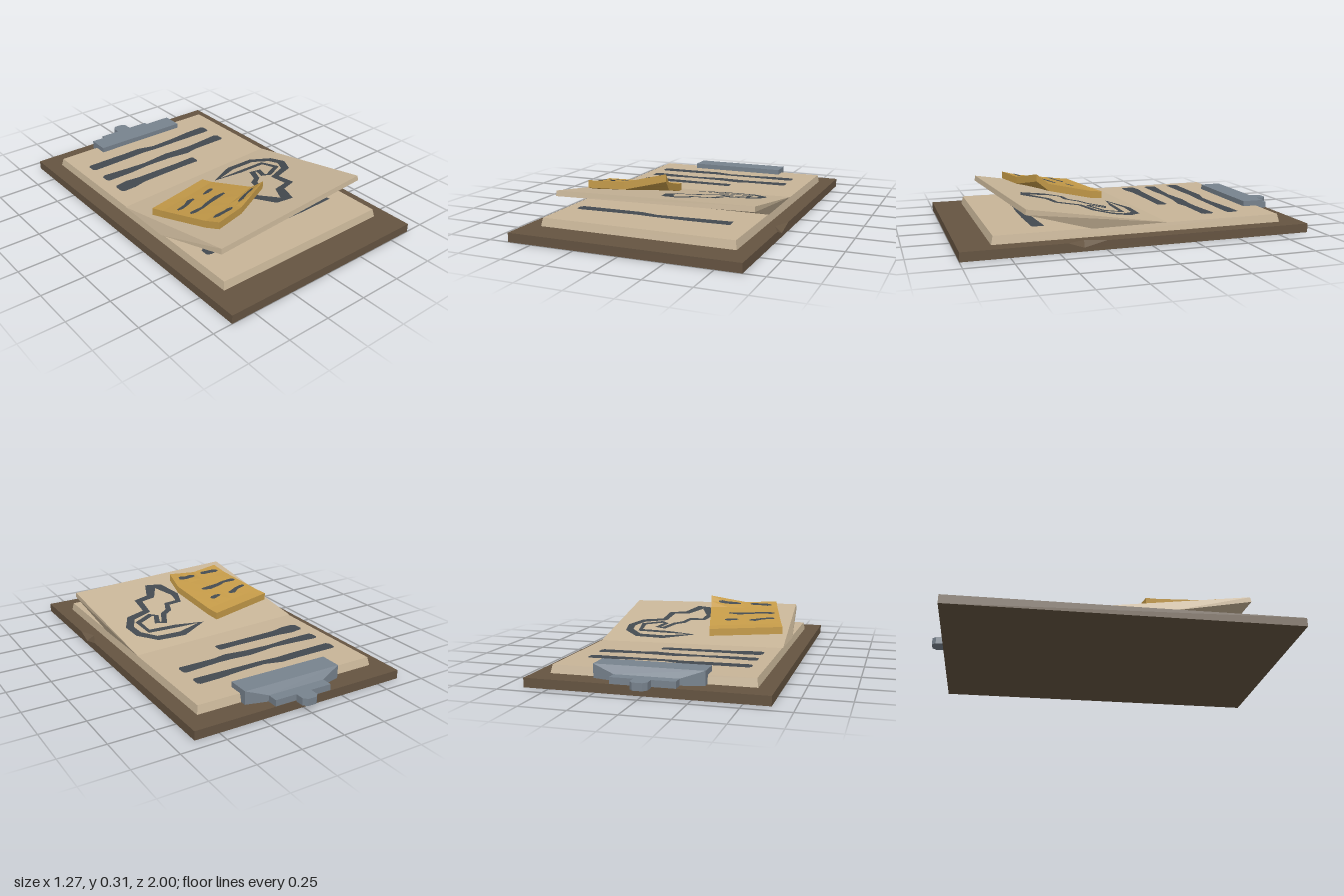
import * as THREE from 'three';

const mat = (name, color, side = THREE.FrontSide) => {
  const m = new THREE.MeshStandardMaterial({ color, side });
  m.name = name;
  return m;
};

// Flat-faced solid from corner points and outward-facing loops (fanned from the first corner)
function solid(points, loops) {
  const pos = [];
  for (const l of loops)
    for (let i = 1; i < l.length - 1; i++) pos.push(...points[l[0]], ...points[l[i]], ...points[l[i + 1]]);
  const g = new THREE.BufferGeometry();
  g.setAttribute('position', new THREE.Float32BufferAttribute(pos, 3));
  g.computeVertexNormals();
  return g;
}

// Six-sided block: 4 lower then 4 upper corners, each front-left, front-right, back-right, back-left
const hex = (p) => solid(p, [[4, 5, 6, 7], [3, 2, 1, 0], [0, 1, 5, 4], [1, 2, 6, 5], [2, 3, 7, 6], [3, 0, 4, 7]]);

const rect = (x, y, zBack, zFront) => [[-x, y, zFront], [x, y, zFront], [x, y, zBack], [-x, y, zBack]];
const block = (x, y0, y1, zBack, zFront) => hex([...rect(x, y0, zBack, zFront), ...rect(x, y1, zBack, zFront)]);

// Ink ribbon along [a, b, halfWidth] points, laid on a surface by place(a, b)
function ribbon(path, place, closed = false) {
  const n = path.length, pts = [], loops = [];
  path.forEach(([a, b, w], i) => {
    const p = path[closed ? (i + n - 1) % n : Math.max(i - 1, 0)];
    const q = path[closed ? (i + 1) % n : Math.min(i + 1, n - 1)];
    const dx = q[0] - p[0], dz = q[1] - p[1], k = w / Math.hypot(dx, dz);
    pts.push(place(a - dz * k, b + dx * k), place(a + dz * k, b - dx * k));
  });
  for (let i = 0; i < (closed ? n : n - 1); i++) {
    const j = (i + 1) % n;
    loops.push([2 * i, 2 * j, 2 * j + 1, 2 * i + 1]);
  }
  return solid(pts, loops);
}

// Raised sheet: its top plane rises forward from a slanted fold
const sheetY = (x, z) => 0.095 + 0.167 * (z + 0.093 + 0.06 * x);

// Sticky note: top surface interpolated between a few rows of left, middle and right points
const NOTE_V = [0, 0.15, 0.8, 1];
const NOTE = [
  [[-0.505, 0.178, 0.155], [-0.29, 0.17, 0.103], [-0.08, 0.163, 0.05]],
  [[-0.485, 0.188, 0.225], [-0.275, 0.178, 0.173], [-0.065, 0.172, 0.12]],
  [[-0.413, 0.238, 0.505], [-0.21, 0.238, 0.455], [-0.002, 0.242, 0.395]],
  [[-0.39, 0.265, 0.595], [-0.2, 0.26, 0.545], [0.015, 0.305, 0.47]],
];
function notePoint(u, v) {
  const r = v < 0.15 ? 0 : v < 0.8 ? 1 : 2, c = u < 0.5 ? 0 : 1;
  const t = (v - NOTE_V[r]) / (NOTE_V[r + 1] - NOTE_V[r]), s = u * 2 - c;
  const mix = (a, b, k) => a.map((e, i) => e + (b[i] - e) * k);
  return mix(mix(NOTE[r][c], NOTE[r][c + 1], s), mix(NOTE[r + 1][c], NOTE[r + 1][c + 1], s), t);
}
function noteGeometry() {
  const us = [0, 0.25, 0.5, 0.75, 1], vs = [0, 0.15, 0.48, 0.8, 0.9, 1];
  const U = us.length, V = vs.length, N = U * V, loops = [], rim = [];
  const top = vs.flatMap((v) => us.map((u) => notePoint(u, v)));
  const pts = [...top, ...top.map(([x, y, z]) => [x, y - 0.042, z])];
  for (let j = 0; j < V - 1; j++)
    for (let i = 0; i < U - 1; i++) {
      const a = j * U + i, l = [a, a + U, a + U + 1, a + 1];
      loops.push(l, l.map((k) => k + N).reverse());
    }
  for (let j = 0; j < V - 1; j++) rim.push(j * U);
  for (let i = 0; i < U - 1; i++) rim.push((V - 1) * U + i);
  for (let j = V - 1; j > 0; j--) rim.push(j * U + U - 1);
  for (let i = U - 1; i > 0; i--) rim.push(i);
  rim.forEach((p, i) => {
    const q = rim[(i + 1) % rim.length];
    loops.push([p + N, q + N, q, p]);
  });
  return solid(pts, loops);
}

export function createModel() {
  const wood = mat('wood', 0x655441);
  const paper = mat('paper', 0xc8b598);
  const yellow = mat('noteYellow', 0xc49a48);
  const ink = mat('ink', 0x434a50, THREE.DoubleSide);
  const steel = mat('steel', 0x78838e);

  const model = new THREE.Group();
  model.name = 'clipboard';
  const add = (name, geometry, material) => {
    const m = new THREE.Mesh(geometry, material);
    m.name = name;
    model.add(m);
    return m;
  };

  // Board with a chip out of its right-hand edge
  add('board', solid([
    ...rect(0.637, 0, -0.93, 1), ...rect(0.637, 0.05, -0.93, 1),
    [0.637, 0.05, 0.455], [0.637, 0.05, 0.25], [0.595, 0.05, 0.36], [0.637, 0.02, 0.37],
  ], [
    [10, 9, 6, 7, 4, 5, 8], [11, 8, 5, 1, 2, 6, 9], [8, 11, 10], [11, 9, 10],
    [3, 2, 1, 0], [0, 1, 5, 4], [2, 3, 7, 6], [3, 0, 4, 7],
  ]), wood);

  // Paper stack and the lifted top sheet
  add('paperStack', hex([...rect(0.548, 0.05, -0.802, 0.83), ...rect(0.54, 0.095, -0.79, 0.82)]), paper);
  add('liftedSheet', hex([
    [-0.5, 0.2, 0.75], [0.58, 0.198, 0.66], [0.54, 0.09, 0.29], [-0.545, 0.09, 0.29],
    [-0.497, 0.23, 0.745], [0.58, 0.226, 0.655], [0.54, 0.0955, -0.125], [-0.545, 0.0955, -0.06],
  ]), paper);

  // Written lines on the flat paper
  const onPaper = (x, z) => [x, 0.099, z];
  const lines = [
    [[-0.47, -0.565, 0.022], [-0.455, -0.565, 0.036], [-0.2, -0.57, 0.033], [-0.1, -0.575, 0.032], [0, -0.558, 0.022],
      [0.15, -0.562, 0.025], [0.3, -0.57, 0.034], [0.415, -0.572, 0.036], [0.428, -0.572, 0.022]],
    [[-0.47, -0.405, 0.022], [-0.455, -0.405, 0.037], [-0.3, -0.4, 0.03], [-0.17, -0.403, 0.02], [0, -0.412, 0.032],
      [0.12, -0.4, 0.036], [0.2, -0.408, 0.028], [0.415, -0.42, 0.037], [0.428, -0.42, 0.022]],
    [[-0.47, -0.25, 0.025], [-0.455, -0.25, 0.042], [-0.38, -0.257, 0.047], [-0.3, -0.262, 0.033],
      [0, -0.268, 0.028], [0.1, -0.27, 0.031], [0.112, -0.27, 0.02]],
    [[-0.47, 0.57, 0.022], [-0.45, 0.57, 0.034], [-0.1, 0.56, 0.03], [0, 0.575, 0.022], [0.2, 0.57, 0.03], [0.425, 0.56, 0.034]],
  ];
  lines.forEach((l, i) => add('writtenLine' + (i + 1), ribbon(l, onPaper), ink));

  // Sketched outline on the lifted sheet
  const sketch = [
    [0.03, 0.055, 0.02], [0.19, -0.015, 0.023], [0.35, -0.01, 0.023], [0.435, 0.07, 0.024], [0.45, 0.155, 0.024],
    [0.4, 0.245, 0.024], [0.275, 0.29, 0.022], [0.265, 0.42, 0.024], [0.17, 0.445, 0.025], [0.11, 0.565, 0.034],
    [0.06, 0.55, 0.034], [0.01, 0.42, 0.024], [0.03, 0.335, 0.018], [0.115, 0.325, 0.018], [0.14, 0.26, 0.018],
    [0.19, 0.225, 0.016], [0.235, 0.135, 0.018], [0.275, 0.145, 0.018], [0.245, 0.22, 0.016], [0.275, 0.24, 0.016],
    [0.38, 0.185, 0.018], [0.365, 0.075, 0.018], [0.19, 0.07, 0.016],
  ];
  add('sketch', ribbon(sketch, (x, z) => [x, sheetY(x, z) + 0.004, z], true), ink);

  // Curled sticky note with its marks, placed in note coordinates
  add('stickyNote', noteGeometry(), yellow);
  const onNote = (u, v) => {
    const [x, y, z] = notePoint(u, v);
    return [x, y + 0.005, z];
  };
  const marks = [
    [[0.08, 0.32, 0.015], [0.13, 0.33, 0.03], [0.25, 0.32, 0.028], [0.37, 0.28, 0.038], [0.44, 0.29, 0.018]],
    [[0.6, 0.32, 0.015], [0.66, 0.325, 0.03], [0.75, 0.315, 0.035], [0.79, 0.315, 0.015]],
    [[0.07, 0.53, 0.02], [0.12, 0.54, 0.036], [0.28, 0.56, 0.025], [0.42, 0.54, 0.032], [0.6, 0.54, 0.04], [0.73, 0.56, 0.02]],
    [[0.09, 0.86, 0.015], [0.15, 0.87, 0.035], [0.28, 0.89, 0.03], [0.37, 0.9, 0.034], [0.42, 0.91, 0.015]],
    [[0.57, 0.9, 0.015], [0.64, 0.9, 0.03], [0.75, 0.89, 0.026], [0.84, 0.9, 0.03], [0.89, 0.9, 0.015]],
  ];
  marks.forEach((m, i) => add('noteMark' + (i + 1), ribbon(m, onNote), ink));

  // Metal clip: jaw over the paper, wall behind it, sloped shoulder, base and tab
  add('clipJaw', block(0.294, 0.09, 0.125, -0.835, -0.71), steel);
  add('clipWall', block(0.294, 0.05, 0.125, -0.835, -0.79), steel);
  add('clipShoulder', hex([
    [-0.294, 0.05, -0.835], [0.294, 0.05, -0.835], [0.172, 0.05, -0.867], [-0.172, 0.05, -0.867],
    [-0.294, 0.125, -0.835], [0.294, 0.125, -0.835], [0.172, 0.085, -0.867], [-0.172, 0.085, -0.867],
  ]), steel);
  add('clipBase', block(0.172, 0.045, 0.085, -0.928, -0.86), steel);
  const tab = new THREE.Shape([[-0.046, 0.9], [0.046, 0.9], [0.046, 0.978], [0.026, 1], [-0.026, 1], [-0.046, 0.978]]
    .map(([x, y]) => new THREE.Vector2(x, y)));
  const tabGeo = new THREE.ExtrudeGeometry(tab, { depth: 0.04, bevelEnabled: false });
  add('clipTab', tabGeo.rotateX(-Math.PI / 2).translate(0, 0.045, 0), steel);

  return model;
}
